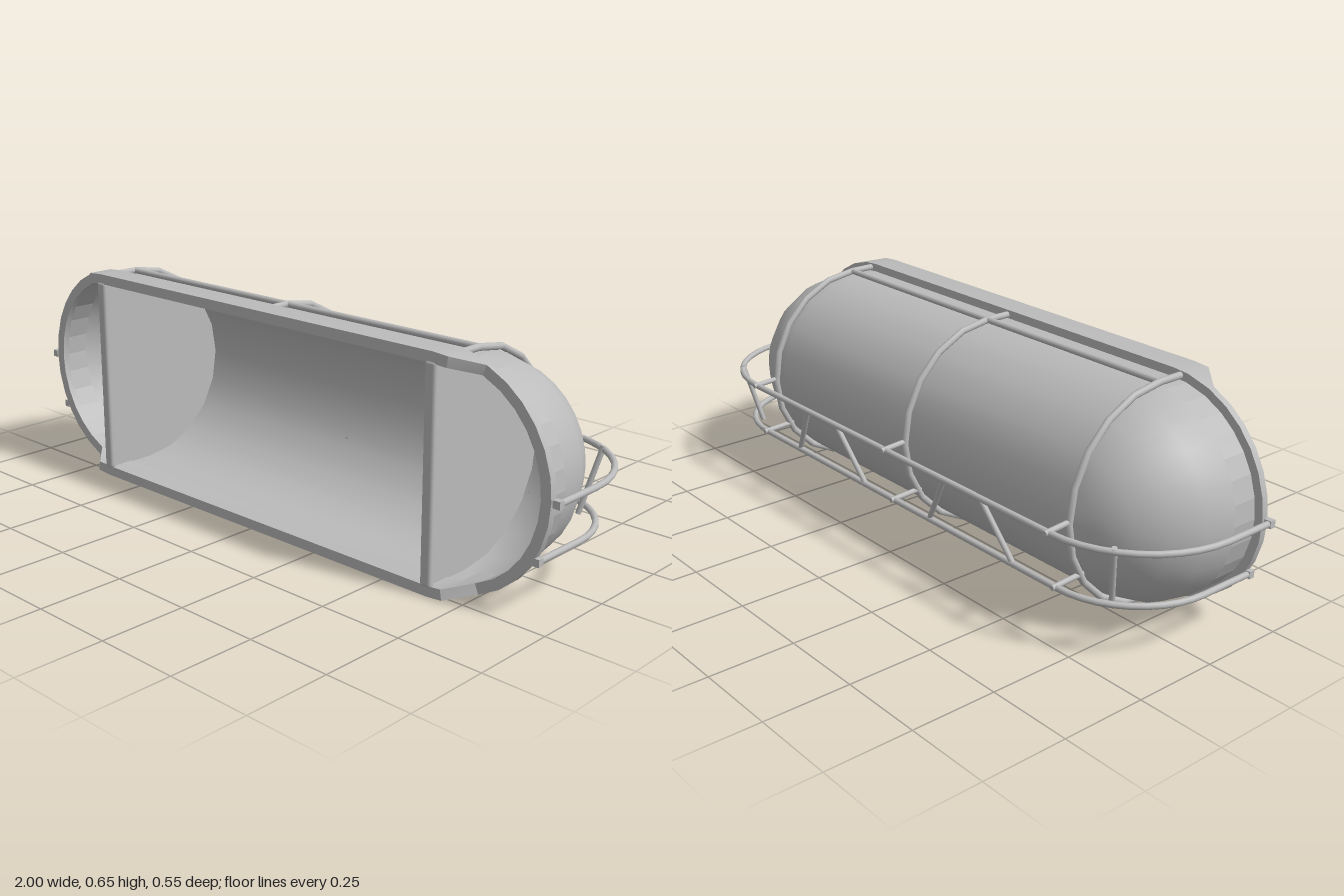
import * as THREE from 'three';
import { toCreasedNormals } from 'three/addons/utils/BufferGeometryUtils.js';
import { RoundedBoxGeometry } from 'three/addons/geometries/RoundedBoxGeometry.js';

const CY = 0.325;      // height of the capsule axis
const HALF = 0.65;     // half length of the straight section
const R = 0.3;         // shell radius
const ZC = 0.12;       // depth at which the dome starts
const rad = THREE.MathUtils.degToRad;

const metal = new THREE.MeshStandardMaterial({ color: 0xbbbbbb, side: THREE.DoubleSide });
metal.name = 'light grey metal';

// Stadium outline as [side, angle] pairs, counterclockwise from the front
const half = [-90, -81, -68, -56, -45, -34, -23, -11, 0, 11, 23, 34, 45, 56, 68, 81, 90];
const outline = [...half.map(a => [1, rad(a)]), ...half.map(a => [-1, rad(a + 180)])];
const onStadium = ([side, a], r, z) => [side * HALF + r * Math.cos(a), CY + r * Math.sin(a), z];

// Closed loft around the outline; section(o) lists the points of one cross-section
function loft(section, normals) {
  const pos = [], nor = [], index = [], n = outline.length;
  const m = section(outline[0]).length;
  outline.forEach(o => {
    section(o).forEach(p => pos.push(...p));
    if (normals) normals(o).forEach(p => nor.push(...p));
  });
  for (let i = 0; i < n; i++) {
    for (let j = 0; j < m - 1; j++) {
      const a = i * m + j, b = ((i + 1) % n) * m + j;
      index.push(a, b, b + 1, a, b + 1, a + 1);
    }
  }
  const g = new THREE.BufferGeometry();
  g.setAttribute('position', new THREE.Float32BufferAttribute(pos, 3));
  if (normals) g.setAttribute('normal', new THREE.Float32BufferAttribute(nor, 3));
  g.setIndex(index);
  return g;
}

// Curve through straight segments, with one tube ring per point
class Polyline extends THREE.Curve {
  constructor(points) { super(); this.points = points; }
  getUtoTmapping(u) { return u; }
  getPoint(t, target = new THREE.Vector3()) {
    const n = this.points.length - 1;
    const i = Math.min(Math.floor(t * n), n - 1);
    return target.lerpVectors(this.points[i], this.points[i + 1], t * n - i);
  }
}

export function createModel() {
  const model = new THREE.Group();
  model.name = 'capsuleShell';

  function add(name, geometry, x = 0, y = 0, z = 0) {
    const mesh = new THREE.Mesh(geometry, metal);
    mesh.name = name;
    mesh.position.set(x, y, z);
    model.add(mesh);
    return mesh;
  }
  function tube(name, points, r) {
    const v = points.map(p => new THREE.Vector3(...p));
    return add(name, new THREE.TubeGeometry(new Polyline(v), v.length - 1, r, 10));
  }
  function rod(name, a, b, r) {
    const from = new THREE.Vector3(...a), to = new THREE.Vector3(...b);
    const dir = to.clone().sub(from);
    const mesh = add(name, new THREE.CylinderGeometry(r, r, dir.length(), 10));
    mesh.position.lerpVectors(from, to, 0.5);
    mesh.quaternion.setFromUnitVectors(new THREE.Vector3(0, 1, 0), dir.normalize());
  }

  // Smooth rounded back of the shell, from its ridge to the wall
  const levels = [90, 72, 54, 36, 18, 0].map(rad);
  add('dome', loft(
    o => levels.map(t => onStadium(o, R * Math.cos(t), ZC - R * Math.sin(t))),
    o => levels.map(t => [Math.cos(o[1]) * Math.cos(t), Math.sin(o[1]) * Math.cos(t), -Math.sin(t)])
  ));

  // Faceted straight wall between dome and rim
  const wall = loft(o => [onStadium(o, R, ZC), onStadium(o, R, 0.2)]).toNonIndexed();
  wall.computeVertexNormals();
  add('wall', wall);

  // Rim, standing further forward along the straight sides
  const rim = loft(o => {
    const x = Math.abs(onStadium(o, 0.325, 0)[0]);
    const front = 0.275 - 0.06 * THREE.MathUtils.clamp((x - 0.701) / 0.07, 0, 1);
    return [[0.325, 0.195], [0.325, front], [0.295, front], [0.295, 0.195], [0.325, 0.195]]
      .map(([r, z]) => onStadium(o, r, z));
  });
  add('rim', toCreasedNormals(rim, 0.5));

  // Bulkheads with rounded posts along their front edges
  const profile = [[-0.262, CY - 0.298]];
  for (let a = -90; a <= 90; a += 18) {
    profile.push([-ZC + 0.298 * Math.cos(rad(a)), CY + 0.298 * Math.sin(rad(a))]);
  }
  profile.push([-0.262, CY + 0.298]);
  const panelShape = new THREE.Shape(profile.map(p => new THREE.Vector2(...p)));
  const panel = new THREE.ExtrudeGeometry(panelShape, { depth: 0.02, bevelEnabled: false });
  panel.translate(0, 0, -0.01).rotateY(Math.PI / 2);
  for (const s of [-1, 1]) {
    add('bulkhead', panel, s * 0.647);
    add('bulkheadPost', new RoundedBoxGeometry(0.036, 0.6, 0.02, 2, 0.009), s * 0.647, CY, 0.268);
  }

  // Hoops around the shell
  const hoopX = [-0.675, 0, 0.675];
  for (const x of hoopX) {
    const points = [[x, CY - 0.31, 0.2]];
    for (let a = -90; a <= 90; a += 18) {
      points.push([x, CY + 0.31 * Math.sin(rad(a)), ZC - 0.31 * Math.cos(rad(a))]);
    }
    points.push([x, CY + 0.31, 0.2]);
    tube('hoop', points, 0.01);
  }

  // Long bars along the top and bottom
  for (const s of [-1, 1]) rod('longBar', [-0.675, CY + s * 0.31, 0.118], [0.675, CY + s * 0.31, 0.118], 0.009);

  // Two wraparound rails, with end blocks on the rim and brackets to the hoops
  const rails = [
    { y: 0.325, r: 0.31, z: 0.05, inner: -0.185 },
    { y: 0.162, r: 0.26, z: 0.03, inner: -0.135 }
  ];
  for (const { y, r, z, inner } of rails) {
    const end = 0.68 + r;
    const points = [[end, y, 0.205]];
    for (let a = 0; a <= 90; a += 9) {
      points.push([0.68 + r * Math.cos(rad(a)), y, z - r * Math.sin(rad(a))]);
    }
    const mirrored = points.map(([px, py, pz]) => [-px, py, pz]).reverse();
    tube('rail', [...points, ...mirrored], 0.009);
    for (const s of [-1, 1]) add('railEnd', new THREE.BoxGeometry(0.021, 0.021, 0.018), s * (end - 0.001), y, 0.206);
    for (const x of hoopX) rod('bracket', [x, y + 0.008, inner], [x, y + 0.002, z - r - 0.014], 0.008);
  }

  // Struts between the rails: slanted along the back, upright at the corners
  for (const s of [-1, 1]) {
    rod('cornerStrut', [s * 0.85, 0.335, -0.207], [s * 0.81, 0.145, -0.165], 0.008);
  }
  for (const [low, high] of [[-0.51, -0.41], [-0.16, -0.26], [0.145, 0.245], [0.49, 0.395]]) {
    rod('backStrut', [low, 0.162, -0.228], [high, 0.325, -0.258], 0.008);
  }
  return model;
}
